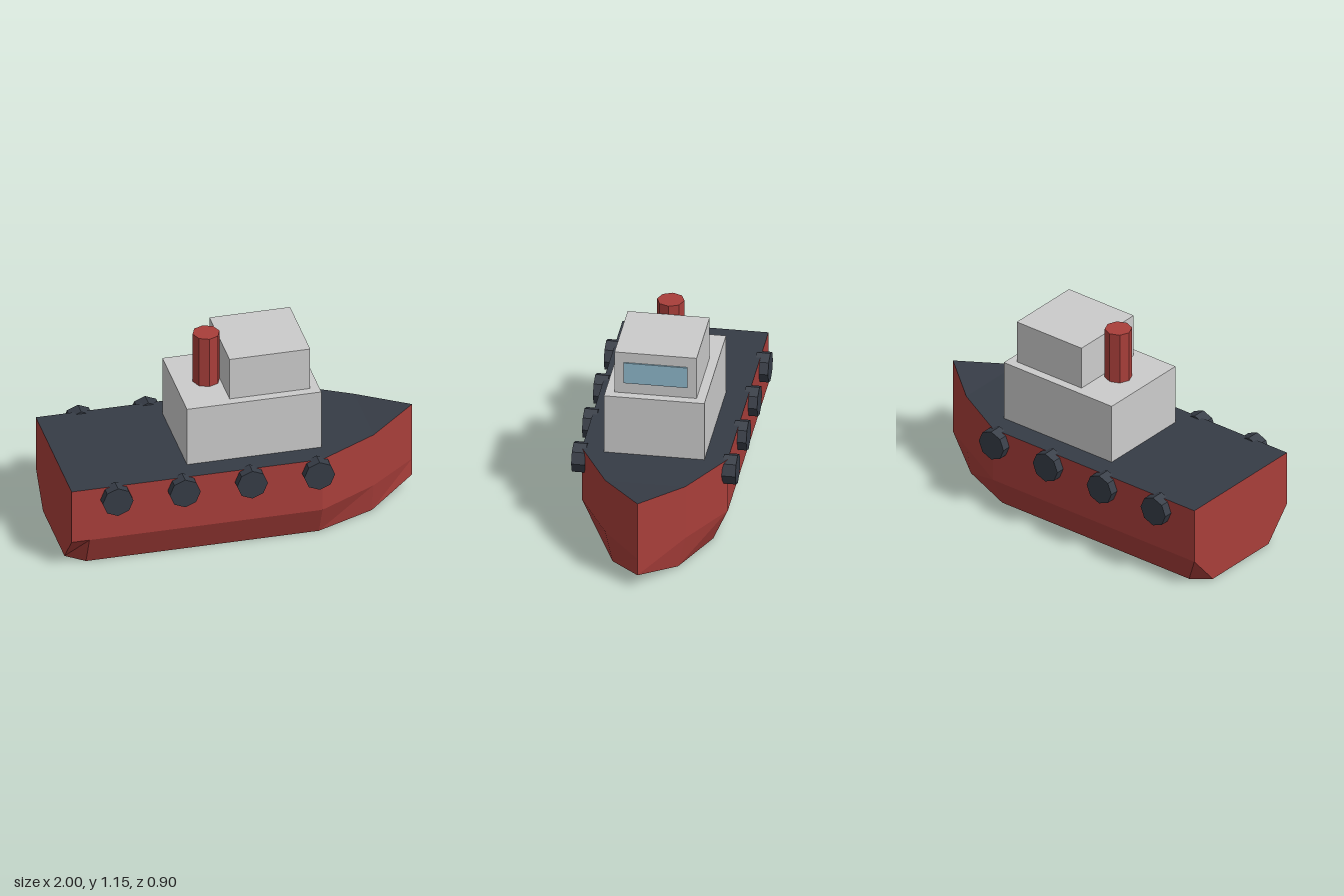
import * as THREE from 'three';

const paint = (color) => new THREE.MeshStandardMaterial({ color, flatShading: true });

// Half-sections of the hull from stern to bow:
// x, deck height, keel height, deck/chine half width, keel half width
const STATIONS = [
  [-1, 0.5, 0, 0.4, 0.24],
  [-0.9, 0.5, 0, 0.4, 0.32],
  [0.4, 0.5, 0, 0.4, 0.32],
  [0.73, 0.5, 0, 0.22, 0.18],
  [1, 0.525, 0.08, 0, 0],
];
const CHINE = 0.18;

// Ring of six corners, from the left deck edge under the keel to the right deck edge
function ring([x, top, bottom, w, k]) {
  return [[top, w], [CHINE, w], [bottom, k], [bottom, -k], [CHINE, -w], [top, -w]]
    .map(([y, z]) => new THREE.Vector3(x, y, z));
}

function facets(quads) {
  const points = [];
  const triangle = (a, b, c) => {
    if (new THREE.Triangle(a, b, c).getArea() > 1e-6) points.push(a, b, c);
  };
  for (const [a, b, c, d] of quads) {
    triangle(a, b, c);
    triangle(a, c, d);
  }
  const geometry = new THREE.BufferGeometry().setFromPoints(points);
  geometry.computeVertexNormals();
  return geometry;
}

export function createModel() {
  const model = new THREE.Group();
  model.name = 'tugboat';
  const red = paint(0xa83e3a);
  const dark = paint(0x363c46);
  const grey = paint(0xcccccc);
  const glass = paint(0x8fb8cb);

  const add = (name, geometry, material, x = 0, y = 0, z = 0) => {
    const mesh = new THREE.Mesh(geometry, material);
    mesh.name = name;
    mesh.position.set(x, y, z);
    model.add(mesh);
    return mesh;
  };

  // Hull shell with transom, and the deck closing it
  const rings = STATIONS.map(ring);
  const shell = [];
  const deck = [];
  for (let i = 0; i < rings.length - 1; i++) {
    const a = rings[i], b = rings[i + 1];
    for (let k = 0; k < 5; k++) shell.push([a[k + 1], b[k + 1], b[k], a[k]]);
    deck.push([a[0], b[0], b[5], a[5]]);
  }
  const s = rings[0];
  shell.push([s[0], s[5], s[4], s[1]], [s[1], s[4], s[3], s[2]]);
  add('hull', facets(shell), red);
  add('deck', facets(deck), dark);

  // Superstructure
  add('cabin', new THREE.BoxGeometry(0.75, 0.35, 0.55), grey, 0.05, 0.675, 0);
  add('wheelhouse', new THREE.BoxGeometry(0.45, 0.25, 0.45), grey, 0.15, 0.975, 0);
  add('window', new THREE.BoxGeometry(0.02, 0.125, 0.35), glass, 0.373, 0.977, 0);
  add('funnel', new THREE.CylinderGeometry(0.075, 0.075, 0.3, 8), red, -0.15, 1, 0);

  // Fenders along both sides
  const fender = new THREE.CylinderGeometry(0.086, 0.086, 0.075, 8).rotateX(Math.PI / 2);
  for (const side of [1, -1]) {
    for (let i = 0; i < 4; i++) {
      add(side > 0 ? 'leftFender' : 'rightFender', fender, dark, -0.753 + i * 0.375, 0.427, side * 0.4125);
    }
  }
  return model;
}
